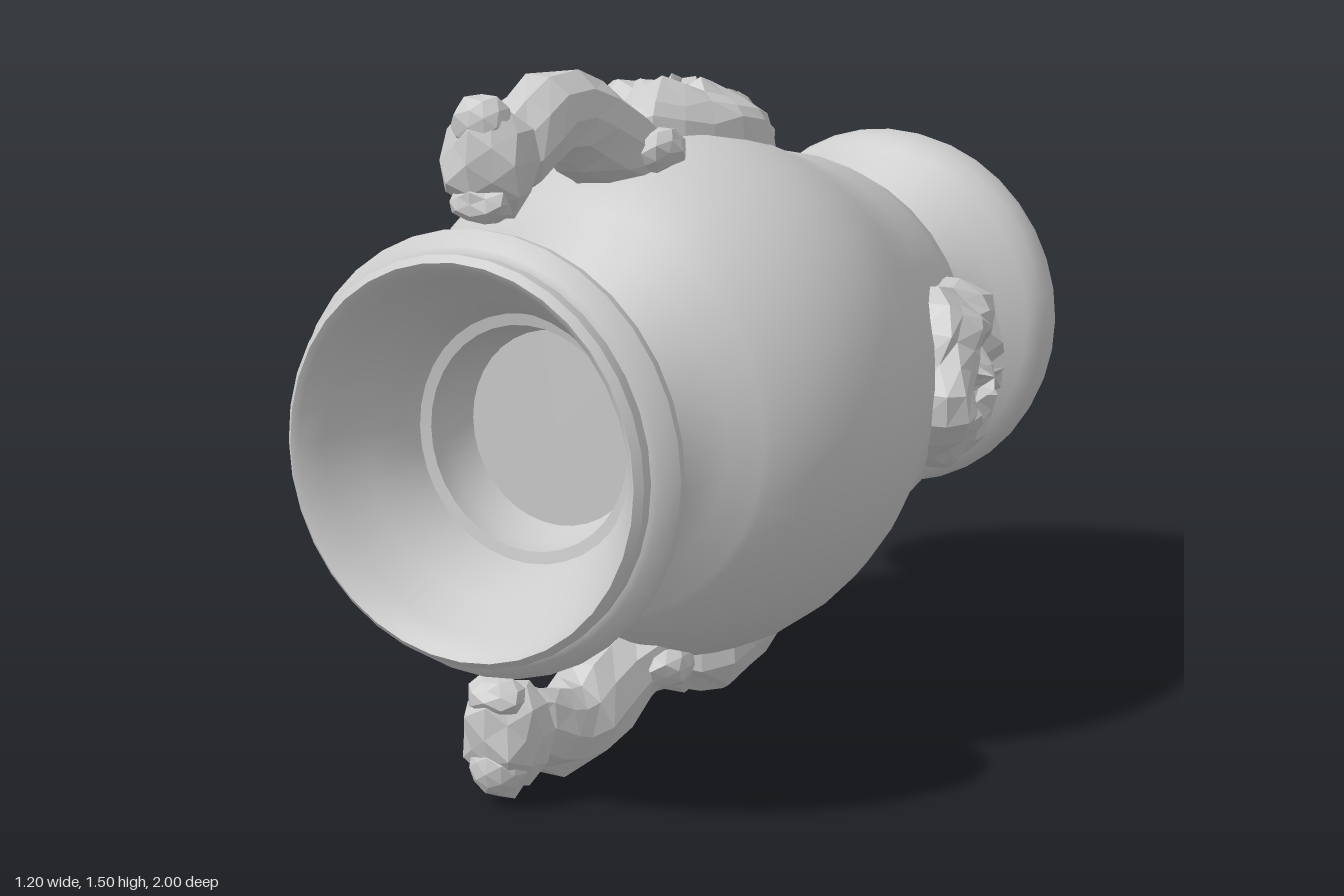
import * as THREE from 'three';
import { toCreasedNormals } from 'three/addons/utils/BufferGeometryUtils.js';

const AXIS_Y = 0.755;

// Outer wall as [radius, z], from the foot rim to the mouth rim
const OUTER = [
  [0.44, -1], [0.45, -0.96], [0.44, -0.92], [0.41, -0.895], [0.35, -0.87], [0.29, -0.83], [0.26, -0.77],
  [0.25, -0.72], [0.27, -0.65], [0.315, -0.645], [0.32, -0.61], [0.35, -0.6], [0.4, -0.56], [0.43, -0.51],
  [0.46, -0.42], [0.48, -0.3], [0.51, -0.18], [0.545, -0.07], [0.575, 0.03], [0.592, 0.12], [0.595, 0.2],
  [0.583, 0.29], [0.555, 0.37], [0.51, 0.44], [0.45, 0.5], [0.435, 0.51], [0.37, 0.55], [0.31, 0.59],
  [0.275, 0.635], [0.305, 0.65], [0.315, 0.69], [0.305, 0.73], [0.28, 0.755], [0.29, 0.8], [0.33, 0.865],
  [0.345, 0.88], [0.46, 0.885], [0.465, 0.91], [0.435, 0.945], [0.42, 0.95], [0.425, 0.985], [0.41, 1],
];
const FOOT_HOLLOW = [
  [0, -0.58], [0.2, -0.58], [0.205, -0.7], [0.23, -0.79], [0.29, -0.86], [0.37, -0.91], [0.41, -0.95], [0.42, -1],
];
const MOUTH_HOLLOW = [
  [0.395, 0.99], [0.37, 0.94], [0.32, 0.86], [0.28, 0.79], [0.265, 0.74], [0.24, 0.735], [0.24, 0.68], [0.21, 0.62], [0, 0.62],
];

const smoothMat = new THREE.MeshStandardMaterial({ color: 0xcccccc });
const carvedMat = new THREE.MeshStandardMaterial({ color: 0xcccccc, flatShading: true, side: THREE.DoubleSide });

// Repeatable value in -0.5..0.5 for a pair of numbers
function noise(a, b) {
  const s = Math.sin(a * 12.9898 + b * 78.233) * 43758.5453;
  return s - Math.floor(s) - 0.5;
}

// Radius of the vase at a given z
function bodyRadius(z) {
  const i = Math.max(1, OUTER.findIndex((p) => p[1] >= z));
  const [r0, z0] = OUTER[i - 1], [r1, z1] = OUTER[i];
  return r0 + ((r1 - r0) * (z - z0)) / (z1 - z0);
}

// Faceted surface from rings of points closed around their loop
function loft(rings, sides, point) {
  const pos = [], index = [];
  for (let i = 0; i < rings; i++) {
    for (let j = 0; j < sides; j++) {
      pos.push(...point(i, j));
      if (i === rings - 1) continue;
      const a = i * sides + j, b = i * sides + ((j + 1) % sides);
      index.push(a, b, a + sides, b, b + sides, a + sides);
    }
  }
  let g = new THREE.BufferGeometry();
  g.setAttribute('position', new THREE.Float32BufferAttribute(pos, 3));
  g.setIndex(index);
  g = g.toNonIndexed();
  g.computeVertexNormals();
  return g;
}

function add(parent, name, geometry, material = carvedMat) {
  const m = new THREE.Mesh(geometry, material);
  m.name = name;
  parent.add(m);
  return m;
}

// Carved flower lying on the +y side of the body
function rosette(xc, zc, halfX, halfZ, seed) {
  const spread = [0.001, 0.14, 0.3, 0.5, 0.7, 0.88, 1, 1.02];
  const height = [0.1, 0.085, 0.05, 0.085, 0.085, 0.065, 0.035, -0.04];
  const sides = 20;
  return loft(spread.length, sides, (i, j) => {
    const a = (j / sides) * Math.PI * 2;
    const inner = i > 0 && i < spread.length - 1;
    const petal = Math.cos(a * 5 + (i > 3 ? 0 : Math.PI));
    const s = spread[i] * (1 + (i > 1 ? 0.05 * petal : 0) + (inner ? 0.09 * noise(i + seed, j) : 0));
    const x = xc + Math.cos(a) * halfX * s, z = zc + Math.sin(a) * halfZ * s;
    const h = height[i] + (inner ? 0.012 * petal + 0.03 * noise(j + seed, i + 7) : 0);
    return [x, Math.sqrt(bodyRadius(z) ** 2 - x * x) + h, z];
  });
}

// Scroll handle sections: z, height above the axis, half width, half thickness
const HANDLE = [
  [0.28, 0.5, 0.13, 0.07], [0.36, 0.545, 0.15, 0.085], [0.43, 0.585, 0.115, 0.1], [0.5, 0.625, 0.095, 0.105],
  [0.57, 0.655, 0.09, 0.1], [0.65, 0.655, 0.088, 0.095], [0.72, 0.63, 0.095, 0.09], [0.79, 0.595, 0.085, 0.085],
  [0.85, 0.57, 0.06, 0.07],
];

function handleArm() {
  const sides = 10;
  return loft(HANDLE.length, sides, (i, j) => {
    const [z, y, w, t] = HANDLE[i];
    const p = HANDLE[Math.max(0, i - 1)], n = HANDLE[Math.min(HANDLE.length - 1, i + 1)];
    const len = Math.hypot(n[0] - p[0], n[1] - p[1]);
    const tz = (n[0] - p[0]) / len, ty = (n[1] - p[1]) / len;
    const a = (j / sides) * Math.PI * 2, k = 1 + 0.16 * noise(i + 3, j);
    const up = Math.sin(a) * t * k;
    return [Math.cos(a) * w * k - 0.01, y + up * tz, z - up * ty];
  });
}

// Rough carved lump
function lump(x, y, z, sx, sy, sz, seed) {
  const g = new THREE.IcosahedronGeometry(1, 1);
  const p = g.attributes.position, v = new THREE.Vector3();
  for (let i = 0; i < p.count; i++) {
    v.fromBufferAttribute(p, i);
    const k = 1 + 0.22 * noise(Math.round(v.x * 50) + seed, Math.round(v.y * 50) + 3 * Math.round(v.z * 50));
    p.setXYZ(i, x + v.x * sx * k, y + v.y * sy * k, z + v.z * sz * k);
  }
  g.computeVertexNormals();
  return g;
}

// Handle with its scroll end, side leaves and flower at the root
function handleSet(seed) {
  const g = new THREE.Group();
  add(g, 'handleArm', handleArm());
  add(g, 'handleScrollEnd', lump(-0.01, 0.595, 0.85, 0.1, 0.12, 0.085, seed));
  add(g, 'handleScrollTip', lump(-0.01, 0.67, 0.875, 0.065, 0.065, 0.055, seed + 5));
  add(g, 'handleScrollLip', lump(-0.01, 0.515, 0.88, 0.07, 0.045, 0.05, seed + 8));
  for (const s of [-1, 1]) add(g, 'handleLeaf', lump(s * 0.11 - 0.01, 0.565, 0.36, 0.055, 0.05, 0.075, seed + s));
  add(g, 'handleRosette', rosette(-0.02, 0.05, 0.205, 0.245, seed));
  return g;
}

export function createModel() {
  const model = new THREE.Group();
  model.name = 'vase';
  const core = new THREE.Group();
  core.name = 'vaseOnItsSide';
  core.position.y = AXIS_Y;
  model.add(core);

  // Turned body with hollow foot and flared mouth
  const profile = [...FOOT_HOLLOW, ...OUTER, ...MOUTH_HOLLOW].map(([r, z]) => new THREE.Vector2(r, z));
  const body = new THREE.LatheGeometry(profile, 36).rotateX(Math.PI / 2);
  add(core, 'body', toCreasedNormals(body, 0.7), smoothMat);

  // Handles above and below
  const upper = handleSet(1);
  upper.name = 'upperHandle';
  const lower = handleSet(11);
  lower.name = 'lowerHandle';
  lower.rotation.z = Math.PI;
  core.add(upper, lower);

  // Single flower on the left flank
  const side = add(core, 'sideRosette', rosette(0.01, -0.34, 0.215, 0.235, 23));
  side.rotation.z = -Math.PI / 2;
  return model;
}
